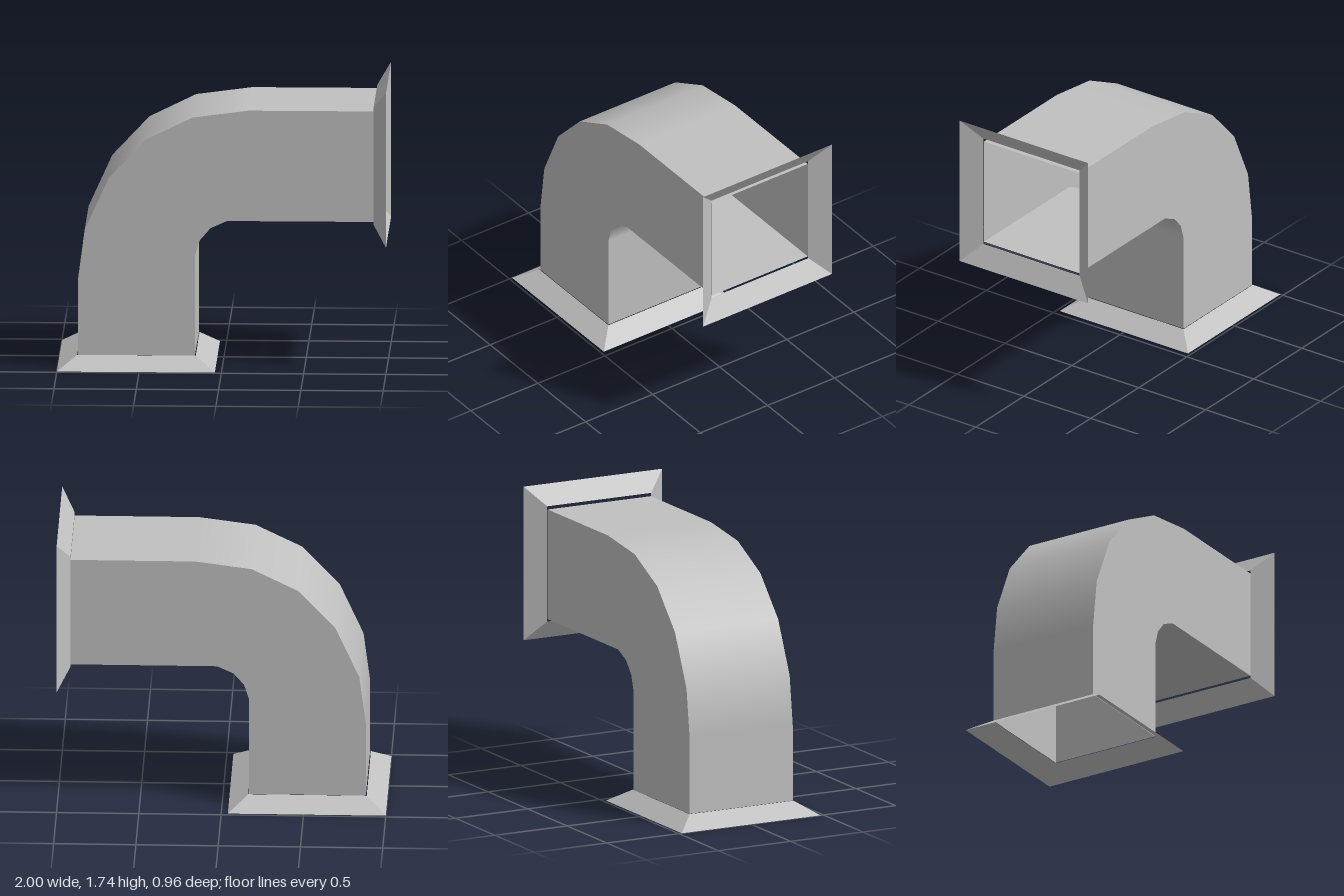
import * as THREE from 'three';

const HALF = 0.357; // half depth of the duct

// Wall swept along z over a path; the outside lies to the left of travel.
// The straight runs at both ends stay flat, the bend between is smooth.
function wall(path) {
  const pts = path.map(([x, y]) => new THREE.Vector2(x, y));
  const last = pts.length - 1;
  const dir = i => pts[i + 1].clone().sub(pts[i]).normalize();
  const pos = [], nor = [], idx = [];
  pts.forEach((p, i) => {
    let t;
    if (i <= 1) t = dir(0);
    else if (i >= last - 1) t = dir(last - 1);
    else t = dir(i - 1).add(dir(i)).normalize();
    for (const z of [HALF, -HALF]) {
      pos.push(p.x, p.y, z);
      nor.push(-t.y, t.x, 0);
    }
    if (i < last) {
      const a = 2 * i;
      idx.push(a, a + 2, a + 1, a + 1, a + 2, a + 3);
    }
  });
  const g = new THREE.BufferGeometry();
  g.setAttribute('position', new THREE.Float32BufferAttribute(pos, 3));
  g.setAttribute('normal', new THREE.Float32BufferAttribute(nor, 3));
  g.setIndex(idx);
  return g;
}

// Open, flared square collar; the narrow end points up
function collar() {
  const r = Math.SQRT2;
  const g = new THREE.CylinderGeometry(0.36 * r, 0.48 * r, 0.08, 4, 1, true)
    .rotateY(Math.PI / 4).toNonIndexed();
  g.computeVertexNormals();
  return g;
}

export function createModel() {
  const group = new THREE.Group();
  const metal = new THREE.MeshStandardMaterial({ color: 0xc0c0c0, side: THREE.DoubleSide });
  metal.name = 'grey metal';
  const add = (name, geometry) => {
    const mesh = new THREE.Mesh(geometry, metal);
    mesh.name = name;
    group.add(mesh);
    return mesh;
  };

  // Outer and inner curves of the elbow
  const outer = [[-0.875, 0.08], [-0.875, 0.55], [-0.835, 0.855], [-0.69, 1.175],
    [-0.465, 1.415], [-0.18, 1.555], [0.16, 1.6], [0.92, 1.6]];
  const inner = [[0.92, 0.915], [0.03, 0.915], [-0.07, 0.87], [-0.135, 0.795],
    [-0.165, 0.7], [-0.165, 0.08]];
  add('outerWall', wall(outer));
  add('innerWall', wall(inner));

  // Flat side walls
  const outline = new THREE.Shape([...outer, ...inner].map(([x, y]) => new THREE.Vector2(x, y)));
  add('frontWall', new THREE.ShapeGeometry(outline)).position.z = HALF;
  const back = new THREE.ShapeGeometry(outline.clone());
  // Reverse the corners so the back wall faces outwards
  back.index.array.reverse();
  for (let i = 0; i < back.attributes.normal.count; i++) back.attributes.normal.setZ(i, -1);
  add('backWall', back).position.z = -HALF;

  // Flared collars at both openings
  add('baseCollar', collar()).position.set(-0.52, 0.04, 0);
  add('mouthCollar', collar().rotateZ(Math.PI / 2)).position.set(0.96, 1.26, 0);

  return group;
}
